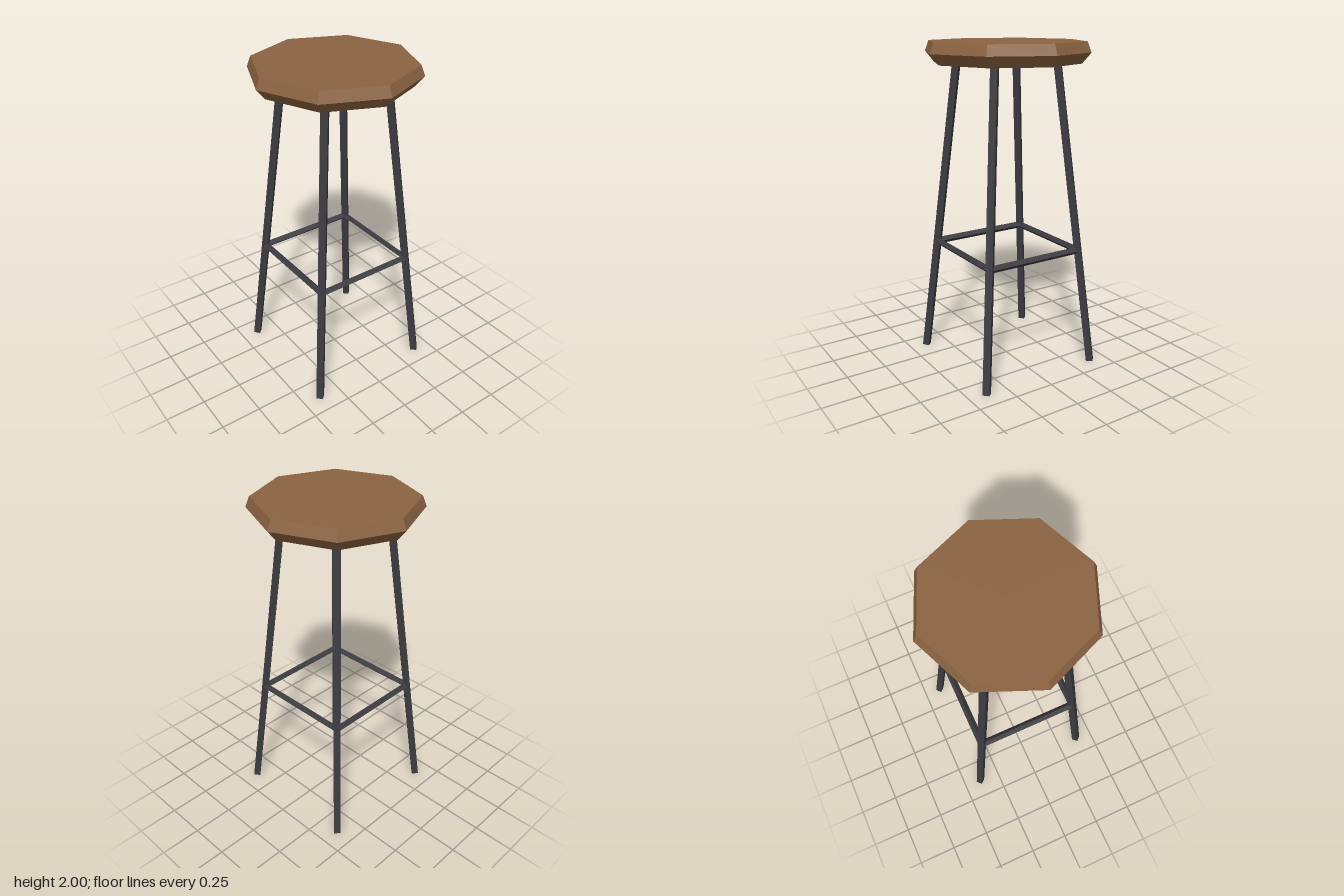
import * as THREE from 'three';

export function createModel() {
  const model = new THREE.Group();
  model.name = 'barStool';

  const wood = new THREE.MeshStandardMaterial({ color: 0x8b6341, flatShading: true });
  wood.name = 'brown wood';
  const metal = new THREE.MeshStandardMaterial({ color: 0x3a3a40, flatShading: true });
  metal.name = 'dark metal';

  const up = new THREE.Vector3(0, 1, 0);
  // Leg centre distance along x and z at a given height
  const spread = (y) => 0.388 - 0.0923 * y;

  // Four-sided bar between two points; turn sets the roll of its square section
  function bar(name, a, b, side, turn) {
    const geometry = new THREE.CylinderGeometry(side / Math.SQRT2, side / Math.SQRT2, a.distanceTo(b), 4);
    geometry.rotateY(turn);
    const mesh = new THREE.Mesh(geometry, metal);
    mesh.name = name;
    mesh.position.addVectors(a, b).multiplyScalar(0.5);
    mesh.quaternion.setFromUnitVectors(up, b.clone().sub(a).normalize());
    return mesh;
  }

  // Octagonal seat with bevelled rim
  const profile = [[0, 1.875], [0.445, 1.875], [0.498, 1.938], [0.474, 2], [0, 2]];
  const seat = new THREE.Mesh(
    new THREE.LatheGeometry(profile.map(([r, y]) => new THREE.Vector2(r, y)), 8), wood);
  seat.name = 'seat';
  model.add(seat);

  // Splayed legs, their flat sides facing the diagonals
  const corners = [[1, 1], [1, -1], [-1, -1], [-1, 1]];
  const at = ([sx, sz], y) => new THREE.Vector3(sx * spread(y), y, sz * spread(y));
  corners.forEach((c) => model.add(bar('leg', at(c, 0.003), at(c, 1.9), 0.042, 0)));

  // Foot rail of four bars set on edge
  corners.forEach((c, i) => {
    model.add(bar('footRail', at(c, 0.743), at(corners[(i + 1) % 4], 0.743), 0.032, 0));
  });

  return model;
}
